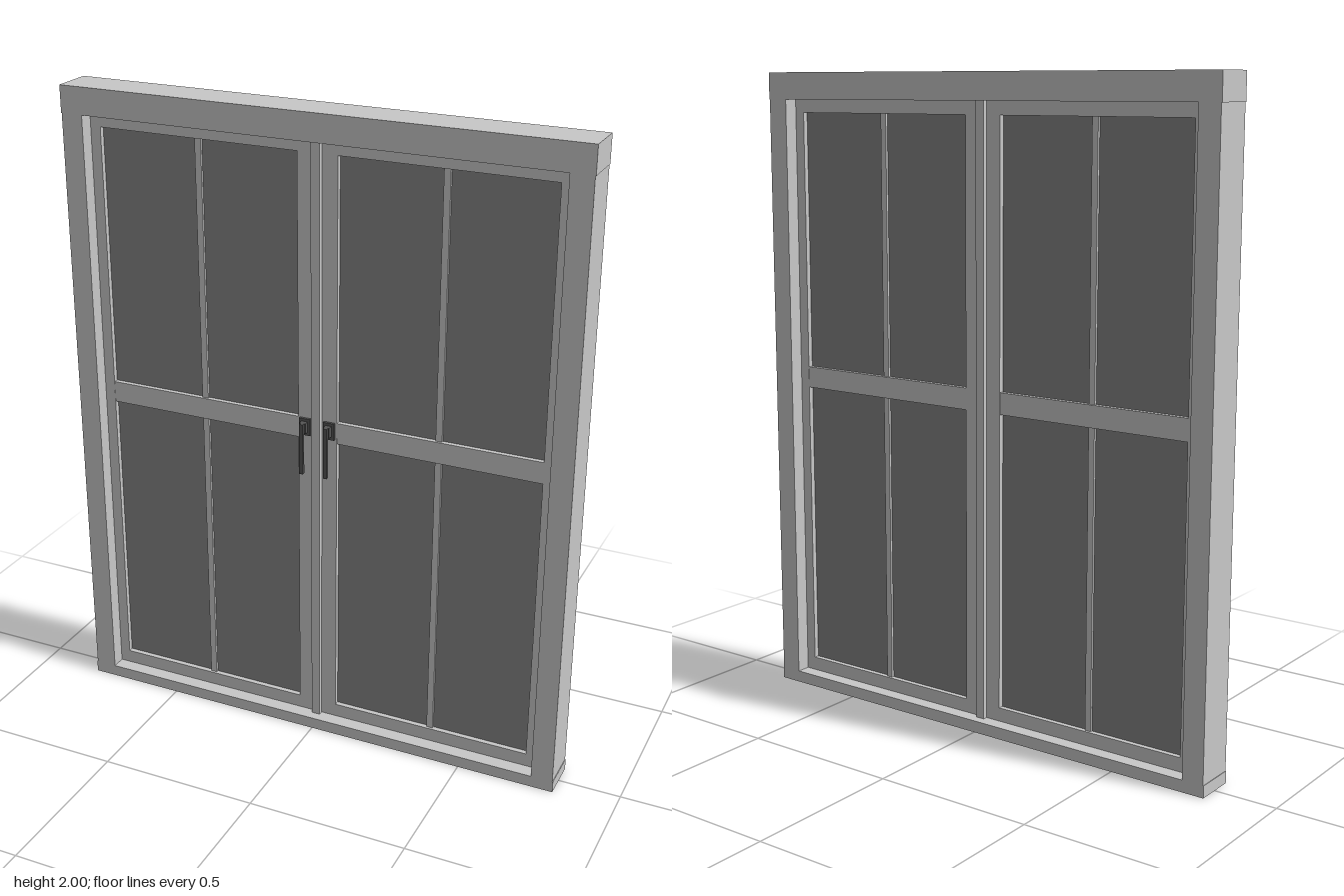
import * as THREE from 'three';

const mat = (name, color) => {
  const m = new THREE.MeshStandardMaterial({ color });
  m.name = name;
  return m;
};

export function createModel() {
  const paint = mat('pale grey paint', 0xc8c8c8);
  const pane = mat('grey glass', 0x858585);
  const metal = mat('dark metal', 0x555555);

  const group = new THREE.Group();
  group.name = 'window';

  // Box given by its extents on each axis
  const box = (parent, name, material, x0, x1, y0, y1, z0, z1) => {
    const mesh = new THREE.Mesh(new THREE.BoxGeometry(x1 - x0, y1 - y0, z1 - z0), material);
    mesh.position.set((x0 + x1) / 2, (y0 + y1) / 2, (z0 + z1) / 2);
    mesh.name = name;
    parent.add(mesh);
    return mesh;
  };
  const rect = (path, x0, x1, y0, y1) =>
    path.moveTo(x0, y0).lineTo(x1, y0).lineTo(x1, y1).lineTo(x0, y1).closePath();

  // Outer frame
  const D = 0.065;
  box(group, 'head', paint, -0.806, 0.806, 1.917, 2, -D, D);
  box(group, 'sill', paint, -0.806, 0.806, 0, 0.037, -D, D);
  for (const s of [-1, 1]) {
    const a = s * 0.736, b = s * 0.804;
    box(group, 'jamb', paint, Math.min(a, b), Math.max(a, b), 0.037, 1.917, -D, D);
  }

  // Strip covering the joint between the two sashes
  box(group, 'meetingPost', paint, -0.014, 0.014, 0.037, 1.917, -0.035, 0.035);

  // One sash on each side
  for (const s of [-1, 1]) {
    const sash = new THREE.Group();
    sash.name = s > 0 ? 'leftSash' : 'rightSash';
    sash.position.x = s * 0.383;
    group.add(sash);

    // Border with one opening
    const shape = new THREE.Shape();
    const outer = s > 0 ? [-0.373, 0.353] : [-0.353, 0.373];
    rect(shape, ...outer, 0.037, 1.917);
    const hole = new THREE.Path();
    rect(hole, -0.32, 0.32, 0.08, 1.876);
    shape.holes.push(hole);
    const geo = new THREE.ExtrudeGeometry(shape, { depth: 0.04, bevelEnabled: false });
    geo.translate(0, 0, -0.02);
    const border = new THREE.Mesh(geo, paint);
    border.name = 'sashBorder';
    sash.add(border);

    // Glass and glazing bars
    box(sash, 'glass', pane, -0.32, 0.32, 0.08, 1.876, -0.004, 0.004);
    box(sash, 'crossRail', paint, -0.32, 0.32, 1.0, 1.067, -0.019, 0.019);
    for (const [y0, y1] of [[0.08, 1.0], [1.067, 1.876]]) {
      box(sash, 'glazingBar', paint, -0.01, 0.01, y0, y1, -0.012, 0.012);
    }

    // Handle: back plate, spindle block and hanging lever
    const handle = new THREE.Group();
    handle.name = 'handle';
    handle.position.set(s * 0.039, 0, 0.02);
    group.add(handle);
    box(handle, 'handlePlate', metal, -0.018, 0.018, 1.013, 1.067, 0, 0.008);
    box(handle, 'handleSpindle', metal, -0.01, 0.01, 1.025, 1.058, 0.008, 0.024);
    box(handle, 'handleLever', metal, -0.006, 0.006, 0.895, 1.058, 0.024, 0.034);
  }

  return group;
}
